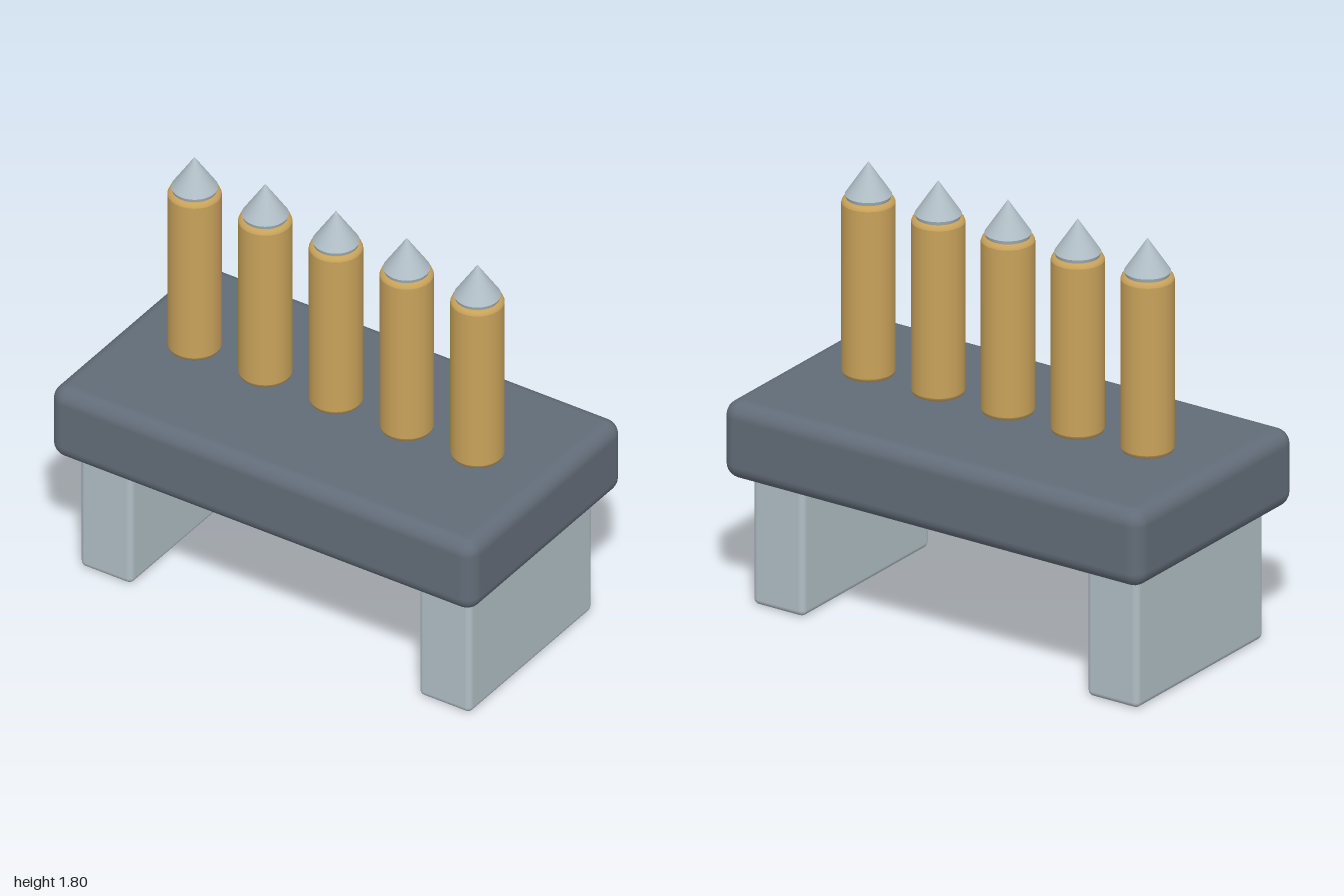
import * as THREE from 'three';
import { RoundedBoxGeometry } from 'three/addons/geometries/RoundedBoxGeometry.js';

const slate = new THREE.MeshStandardMaterial({ color: 0x626c78 });
const brass = new THREE.MeshStandardMaterial({ color: 0xc8a25a });
const steel = new THREE.MeshStandardMaterial({ color: 0xb0bec5 });
slate.name = 'slate';
brass.name = 'brass';
steel.name = 'steel';

function mesh(name, geometry, material, x, y) {
  const m = new THREE.Mesh(geometry, material);
  m.name = name;
  m.position.set(x, y, 0);
  return m;
}

function lathe(points) {
  return new THREE.LatheGeometry(points.map(([r, y]) => new THREE.Vector2(r, y)), 32);
}

export function createModel() {
  const model = new THREE.Group();
  model.name = 'pinHeader';

  // Thick slab with softened edges
  model.add(mesh('slab', new RoundedBoxGeometry(2, 0.33, 1.08, 3, 0.065), slate, 0, 0.72));

  // Two broad slab legs
  const legGeometry = new RoundedBoxGeometry(0.245, 0.57, 0.868, 3, 0.025);
  for (const side of [-1, 1]) {
    model.add(mesh(side > 0 ? 'leftLeg' : 'rightLeg', legGeometry, steel, side * 0.798, 0.285));
  }

  // Rods with rounded rims; doubled points keep the flat ends crisp
  const rodGeometry = lathe([
    [0, 0], [0.09, 0], [0.09, 0], [0.102, 0.005], [0.107, 0.018], [0.107, 0.018],
    [0.107, 0.732], [0.107, 0.732], [0.102, 0.745], [0.09, 0.75], [0.09, 0.75], [0, 0.75],
  ]);
  // Pointed tips with a narrow rim
  const tipGeometry = lathe([
    [0, 0], [0.088, 0], [0.088, 0], [0.093, 0.015], [0.093, 0.015], [0, 0.155],
  ]);
  for (let i = -2; i <= 2; i++) {
    const pin = new THREE.Group();
    pin.name = 'pin';
    pin.position.set(i / 3, 0.895, 0);
    pin.add(mesh('rod', rodGeometry, brass, 0, 0));
    pin.add(mesh('tip', tipGeometry, steel, 0, 0.75));
    model.add(pin);
  }
  return model;
}
